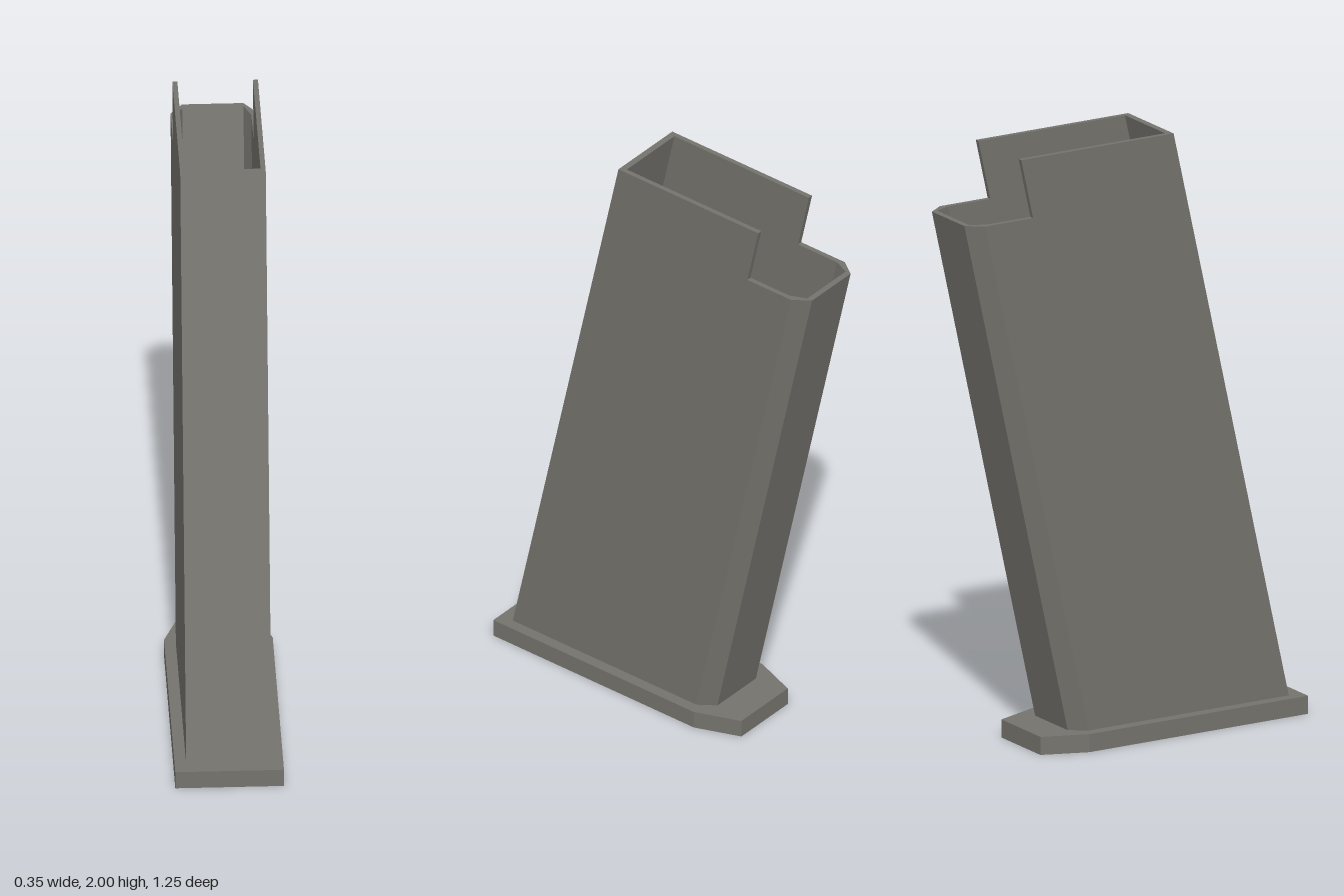
import * as THREE from 'three';

const BASE_TOP = 0.06, STEP = 1.8, TOP = 2, LEAN = -0.224;

// Closed plan outline from [x, z] points
function trace(path, points) {
  points.forEach(([x, z], i) => (i ? path.lineTo(x, -z) : path.moveTo(x, -z)));
  path.closePath();
  return path;
}

// Mirror the +x half of an outline to make a full symmetric one
const mirrored = (half) => [...half, ...half.map(([x, z]) => [-x, z]).reverse()];

// Upright prism between two heights, leaning backwards by a shear
function prism(outline, hole, y0, y1, lean = 0) {
  const shape = trace(new THREE.Shape(), outline);
  if (hole) shape.holes.push(trace(new THREE.Path(), hole));
  const geo = new THREE.ExtrudeGeometry(shape, { depth: y1 - y0, bevelEnabled: false });
  geo.rotateX(-Math.PI / 2).translate(0, y0, 0);
  const p = geo.attributes.position;
  for (let i = 0; i < p.count; i++) p.setZ(i, p.getZ(i) + lean * (p.getY(i) - BASE_TOP));
  geo.computeVertexNormals();
  return geo;
}

export function createModel() {
  const group = new THREE.Group();
  const metal = new THREE.MeshStandardMaterial({ color: 0x75736d });
  metal.name = 'grey metal';
  const add = (name, geo) => {
    const mesh = new THREE.Mesh(geo, metal);
    mesh.name = name;
    group.add(mesh);
  };

  // Foot plate with tapered rear corners
  add('basePlate', prism(mirrored([[0.174, 0.625], [0.174, -0.2], [0.118, -0.35]]), null, 0, BASE_TOP));

  // Hollow leaning body with chamfered rear corners
  const outer = mirrored([[0.137, 0.575], [0.137, -0.18], [0.098, -0.235]]);
  const inner = mirrored([[0.121, 0.553], [0.121, -0.16], [0.098, -0.215]]);
  add('bodyTube', prism(outer, inner, BASE_TOP, STEP, LEAN));

  // Raised U-shaped lip, open at the rear
  const lip = mirrored([[0.121, 0.553], [0.121, 0], [0.137, 0], [0.137, 0.575]]);
  add('upperLip', prism(lip, null, STEP, TOP, LEAN));

  return group;
}
